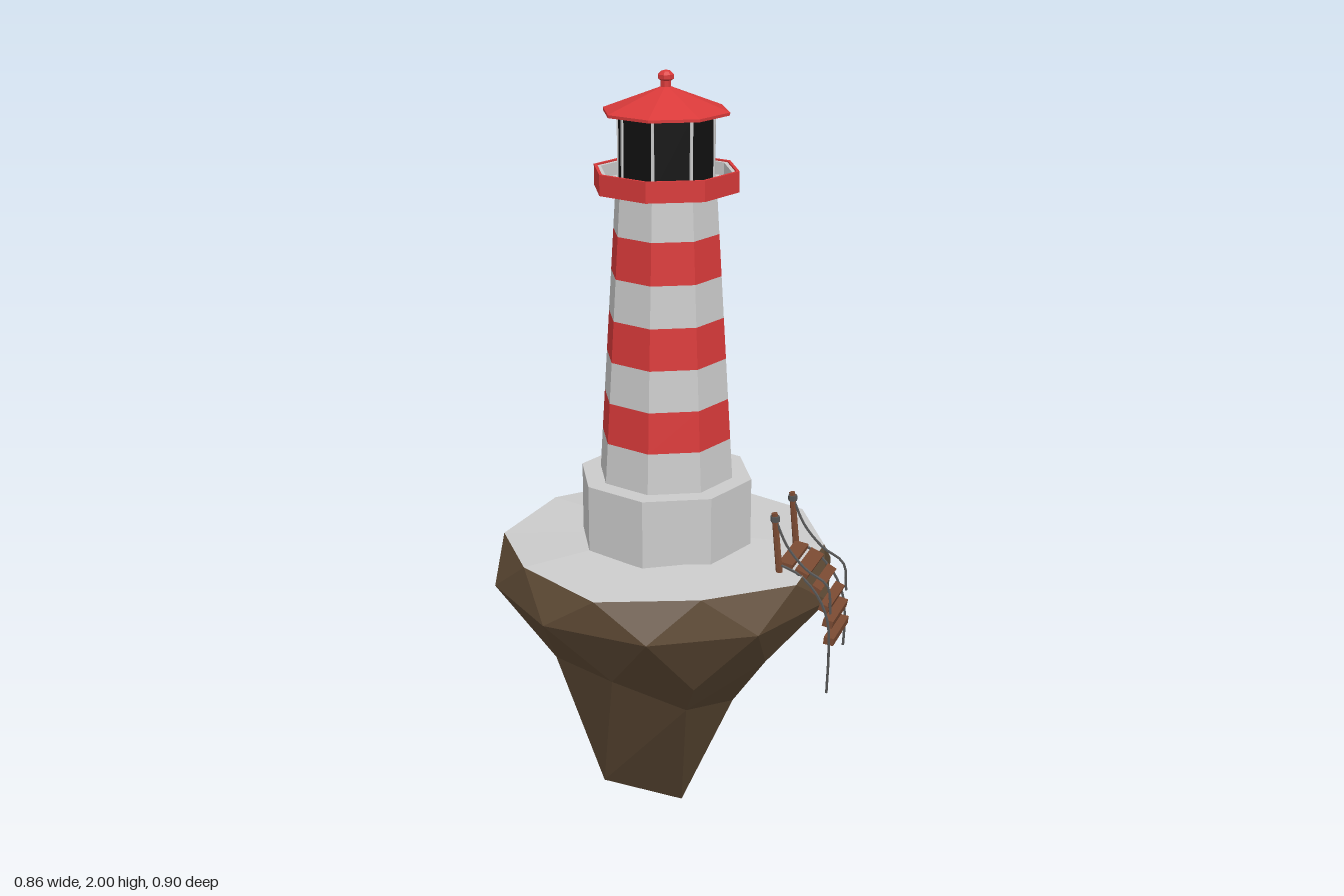
import * as THREE from 'three';

const mat = (color, side = THREE.FrontSide) =>
  new THREE.MeshStandardMaterial({ color, flatShading: true, side });
const GREY = mat(0xcccccc), GREY2 = mat(0xcccccc, THREE.DoubleSide);
const RED = mat(0xd93a3a), RED2 = mat(0xd93a3a, THREE.DoubleSide);
const ROCK = mat(0x5e4a35), GLASS = mat(0x111111);
const WOOD = mat(0x7a4a32), ROPE = mat(0x555555);

function add(parent, name, geometry, material, x = 0, y = 0, z = 0) {
  const m = new THREE.Mesh(geometry, material);
  m.name = name;
  m.position.set(x, y, z);
  parent.add(m);
  return m;
}

// Eight-sided drum between two heights
function drum(parent, name, rBottom, rTop, y0, y1, material) {
  return add(parent, name, new THREE.CylinderGeometry(rTop, rBottom, y1 - y0, 8), material, 0, (y0 + y1) / 2);
}

// Eight-sided lathe from [radius, height] pairs
function turned(parent, name, profile, material) {
  const pts = profile.map(([r, y]) => new THREE.Vector2(r, y));
  return add(parent, name, new THREE.LatheGeometry(pts, 8), material);
}

// Ring of points from [radius, height] pairs, spread evenly around y
function ring(pairs, offset) {
  return pairs.map(([r, y], i) => {
    const a = offset + (i / pairs.length) * Math.PI * 2;
    return [r * Math.cos(a), y, r * Math.sin(a)];
  });
}

function mesh3(tris) {
  const g = new THREE.BufferGeometry();
  g.setAttribute('position', new THREE.Float32BufferAttribute(tris.flat(2), 3));
  g.computeVertexNormals();
  return g;
}

// Faceted floating rock with a pale flat top
function buildIsland(root) {
  const island = new THREE.Group();
  island.name = 'island';
  root.add(island);
  const step = Math.PI / 5;
  const rim = ring([[0.428, 0.79], [0.411, 0.795], [0.432, 0.79], [0.41, 0.8], [0.428, 0.79],
    [0.41, 0.8], [0.428, 0.79], [0.41, 0.8], [0.432, 0.79], [0.411, 0.795]], 0);
  const waist = ring(Array(10).fill([0.45, 0.7]), step / 2);
  const lower = ring([[0.33, 0.55], [0.34, 0.56], [0.34, 0.55], [0.335, 0.52], [0.33, 0.53],
    [0.325, 0.53], [0.33, 0.53], [0.3, 0.52], [0.32, 0.55], [0.33, 0.55]], 0);
  const foot = ring([[0.18, 0.33], [0.25, 0.42], [0.19, 0.13], [0.21, 0.35], [0.21, 0.25]], step);
  const tip = [0.05, 0, 0], crown = [0, 0.815, 0];
  const rock = [], top = [];
  for (let i = 0; i < 10; i++) {
    const j = (i + 1) % 10;
    top.push([crown, rim[j], rim[i]]);
    rock.push([rim[i], rim[j], waist[i]], [rim[j], waist[j], waist[i]]);
    rock.push([waist[i], lower[j], lower[i]], [waist[i], waist[j], lower[j]]);
  }
  for (let m = 0; m < 5; m++) {
    const k = 2 * m + 1, n = (m + 1) % 5;
    rock.push([lower[k - 1], lower[k], foot[m]], [lower[k], lower[(k + 1) % 10], foot[m]]);
    rock.push([lower[(k + 1) % 10], foot[n], foot[m]], [foot[m], foot[n], tip]);
  }
  add(island, 'rock', mesh3(rock), ROCK);
  add(island, 'groundTop', mesh3(top), GREY);
}

function buildTower(root) {
  const tower = new THREE.Group();
  tower.name = 'tower';
  root.add(tower);
  drum(tower, 'plinth', 0.225, 0.225, 0.78, 0.98, GREY);

  // Seven alternating tapered bands
  const h = 0.105, radius = (i) => 0.175 - (0.047 * i) / 7;
  for (let i = 0; i < 7; i++) {
    drum(tower, i % 2 ? 'redBand' : 'paleBand', radius(i), radius(i + 1),
      0.98 + i * h, 0.98 + (i + 1) * h, i % 2 ? RED : GREY);
  }

  // Gallery: pale floor and parapet wrapped by a red band
  turned(tower, 'galleryFloor', [[0, 1.715], [0.176, 1.715], [0.176, 1.762], [0.165, 1.762],
    [0.165, 1.73], [0, 1.73]], GREY2);
  turned(tower, 'galleryBand', [[0.175, 1.715], [0.183, 1.715], [0.183, 1.766], [0.175, 1.766],
    [0.175, 1.715]], RED2);

  // Lantern room with a mullion at each corner
  drum(tower, 'lantern', 0.12, 0.12, 1.725, 1.9, GLASS);
  for (let i = 0; i < 8; i++) {
    const a = (i * Math.PI) / 4;
    const bar = add(tower, 'mullion', new THREE.BoxGeometry(0.007, 0.17, 0.007), GREY,
      0.119 * Math.sin(a), 1.812, 0.119 * Math.cos(a));
    bar.rotation.y = a;
  }
  turned(tower, 'roof', [[0, 1.898], [0.158, 1.898], [0.158, 1.905], [0, 1.965]], RED2);
  turned(tower, 'finial', [[0.013, 1.95], [0.013, 1.975], [0.02, 1.979], [0.02, 1.989], [0.012, 1.997], [0, 2]], RED2);
}

function rope(parent, name, x, points) {
  const curve = new THREE.CatmullRomCurve3(points.map(([z, y]) => new THREE.Vector3(x, y, z)));
  add(parent, name, new THREE.TubeGeometry(curve, 16, 0.0035, 5), ROPE);
}

// Rope ladder draped over the rim; local +z points outwards
function buildLadder(root) {
  const ladder = new THREE.Group();
  ladder.name = 'ropeLadder';
  ladder.rotation.y = 0.695;
  root.add(ladder);
  const mid = -0.03;
  for (const s of [-1, 1]) {
    const x = mid + s * 0.076;
    const post = add(ladder, 'post', new THREE.CylinderGeometry(0.008, 0.009, 0.16, 6), WOOD, x, 0.87, 0.333);
    post.rotation.x = -0.1;
    add(ladder, 'postKnot', new THREE.CylinderGeometry(0.012, 0.012, 0.014, 6), ROPE, x, 0.935, 0.327);
    rope(ladder, 'handRope', x, [[0.327, 0.935], [0.36, 0.865], [0.41, 0.81], [0.465, 0.775], [0.475, 0.7]]);
    rope(ladder, 'sideRope', x, [[0.335, 0.815], [0.39, 0.795], [0.44, 0.745], [0.468, 0.68], [0.474, 0.6],
      [0.472, s < 0 ? 0.48 : 0.545]]);
  }
  // Treads: [outward, height, tilt]
  const treads = [[0.355, 0.812, 0.15], [0.396, 0.795, 0.4], [0.433, 0.755, 0.5], [0.457, 0.71, 0.35],
    [0.468, 0.67, 0.2], [0.472, 0.622, 0.1]];
  treads.forEach(([z, y, tilt], i) => {
    const depth = i < 2 ? 0.036 : 0.026;
    const t = add(ladder, 'tread', new THREE.BoxGeometry(0.145, i < 2 ? 0.012 : 0.02, depth), WOOD, mid, y, z);
    t.rotation.x = tilt;
  });
}

export function createModel() {
  const root = new THREE.Group();
  root.name = 'lighthouseIsland';
  buildIsland(root);
  buildTower(root);
  buildLadder(root);
  return root;
}
